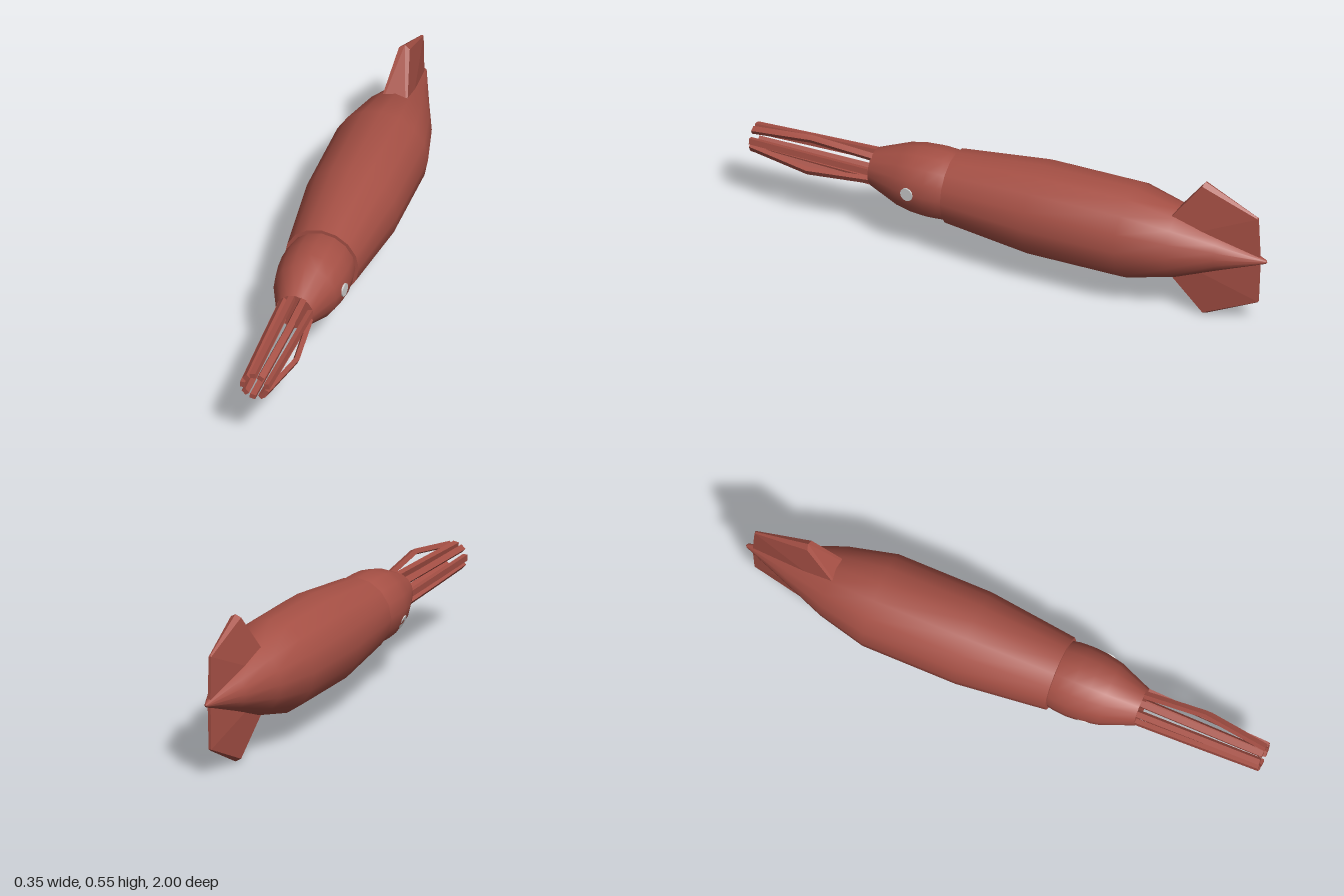
import * as THREE from 'three';
import { ConvexGeometry } from 'three/addons/geometries/ConvexGeometry.js';

const SIDES = 16;
const AXIS_Y = 0.274;

export function createModel() {
  const skin = new THREE.MeshStandardMaterial({ color: 0xa65045 });
  skin.name = 'redSkin';
  const eyeGrey = new THREE.MeshStandardMaterial({ color: 0xd0d0d0 });
  eyeGrey.name = 'eyeGrey';

  const model = new THREE.Group();
  model.name = 'squid';
  const body = new THREE.Group();
  body.name = 'body';
  body.position.y = AXIS_Y;
  model.add(body);

  const add = (name, geometry, material = skin, parent = body) => {
    const mesh = new THREE.Mesh(geometry, material);
    mesh.name = name;
    parent.add(mesh);
    return mesh;
  };

  // Turned shape along z from [z, radius] pairs
  const turned = (profile) =>
    new THREE.LatheGeometry(profile.map(([z, r]) => new THREE.Vector2(r, z)), SIDES).rotateX(Math.PI / 2);

  // Mantle, with its open front rim
  add('mantle', turned([
    [-1, 0], [-0.995, 0.007], [-0.82, 0.071], [-0.66, 0.132],
    [-0.48, 0.175], [-0.12, 0.175], [0.215, 0.138],
  ]));
  add('mantleRim', new THREE.RingGeometry(0.11, 0.138, SIDES).translate(0, 0, 0.215));

  // Head, with a flat face that carries the arms
  add('head', turned([[0.2, 0.122], [0.24, 0.13], [0.29, 0.133], [0.35, 0.129], [0.41, 0.117], [0.53, 0.07]]));
  add('headFront', new THREE.CircleGeometry(0.07, SIDES).translate(0, 0, 0.53));

  // Eyes: thin discs lying on the head
  [['leftEye', 0], ['rightEye', 202.5]].forEach(([name, degrees]) => {
    const pivot = new THREE.Group();
    pivot.name = name + 'Mount';
    pivot.rotation.z = THREE.MathUtils.degToRad(degrees);
    body.add(pivot);
    const disc = new THREE.CylinderGeometry(0.025, 0.025, 0.006, 12).rotateZ(-Math.PI / 2);
    const eye = add(name, disc, eyeGrey, pivot);
    eye.position.set(degrees ? 0.1245 : 0.1275, 0, 0.35);
    eye.rotation.y = -0.1;
  });

  // Tail fins: wide leading face, thin trailing edge
  const finPoints = [new THREE.Vector3(0, 0.273, -0.76), new THREE.Vector3(0, 0.177, -0.962)];
  for (const s of [-1, 1]) {
    finPoints.push(
      new THREE.Vector3(s * 0.07, 0, -0.55),
      new THREE.Vector3(s * 0.02, 0.262, -0.755),
      new THREE.Vector3(s * 0.005, 0.172, -0.965),
      new THREE.Vector3(s * 0.006, 0, -0.972),
    );
  }
  const finGeometry = new ConvexGeometry(finPoints);
  add('upperFin', finGeometry);
  add('lowerFin', finGeometry).rotation.z = Math.PI;

  // Arms: square bars whose distance from the axis changes along their length
  const armGeometry = (middle) => {
    const geometry = new THREE.BoxGeometry(0.022, 0.018, 0.48, 1, 1, 2).translate(0, 0, 0.76);
    const p = geometry.attributes.position;
    for (let i = 0; i < p.count; i++) {
      const z = p.getZ(i);
      const offset = z < 0.6 ? 0.06 : z < 0.9 ? middle : 0.045;
      p.setY(i, p.getY(i) + offset);
    }
    geometry.computeVertexNormals();
    return geometry;
  };
  const straight = armGeometry(0.053);
  const bowed = armGeometry(0.085);
  [100, 62, 10, -25, -53, -100, -140, 180, 135].forEach((degrees, i) => {
    const isBowed = degrees === 62 || degrees === -25;
    const arm = add((isBowed ? 'tentacle' : 'arm') + (i + 1), isBowed ? bowed : straight);
    arm.rotation.z = THREE.MathUtils.degToRad(degrees - 90);
  });

  return model;
}
